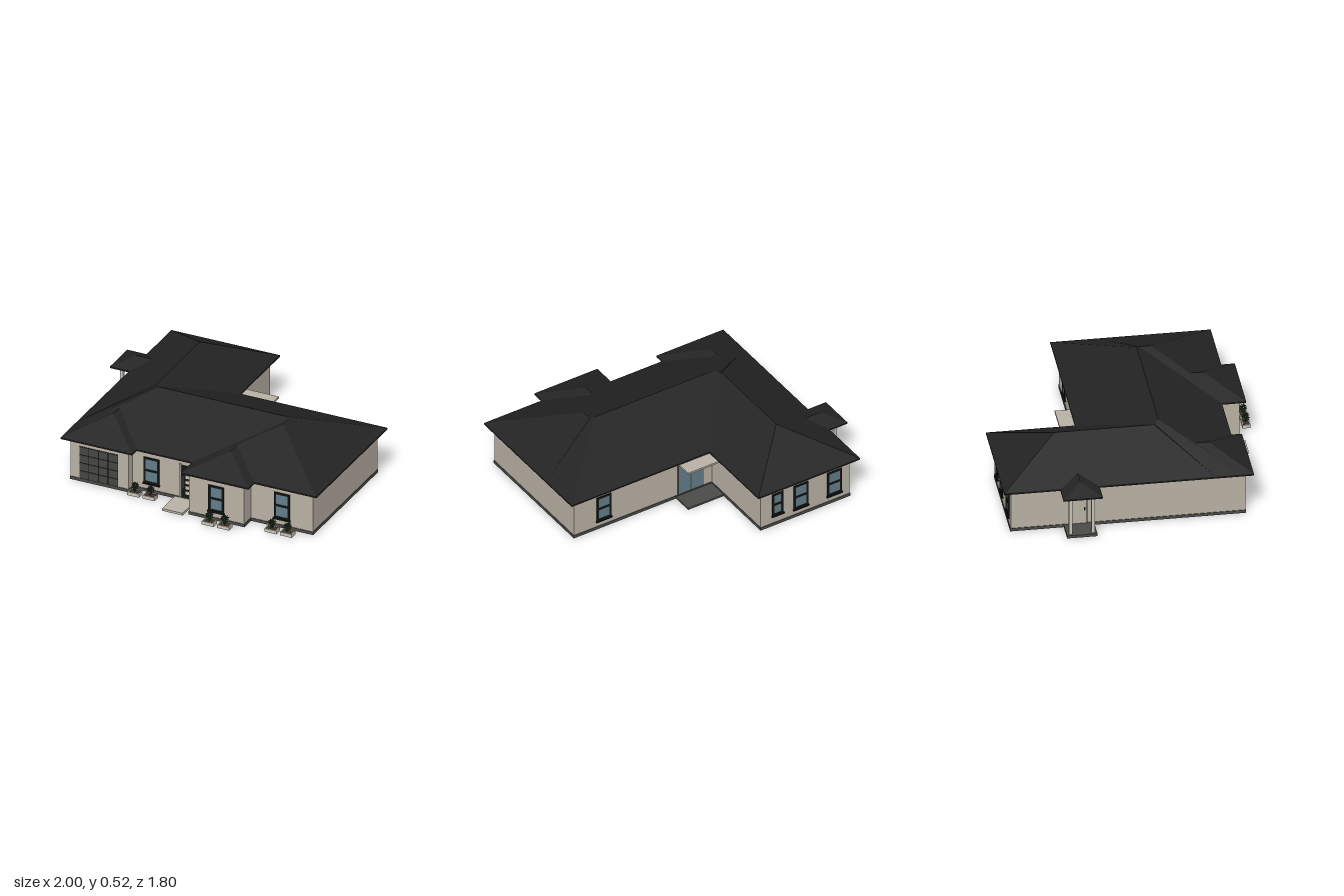
import * as THREE from 'three';
import { mergeGeometries } from 'three/addons/utils/BufferGeometryUtils.js';

const mat = (name, color) => {
  const m = new THREE.MeshStandardMaterial({ color });
  m.name = name;
  return m;
};

export function createModel() {
  const M = {
    wall: mat('warm plaster', 0xb9b1a4),
    roof: mat('charcoal roof', 0x232324),
    base: mat('grey plinth', 0x4b4b49),
    black: mat('black frame', 0x161715),
    glass: mat('blue glass', 0x637d8a),
    garage: mat('garage grey', 0x454742),
    trim: mat('pale trim', 0xc9c5bb),
    leaf: mat('leaf green', 0x294429),
    stem: mat('stem brown', 0x3c3023),
  };
  const house = new THREE.Group();
  house.name = 'house';

  // Box from its limits
  const block = (parent, name, m, x0, x1, y0, y1, z0, z1) => {
    const mesh = new THREE.Mesh(new THREE.BoxGeometry(x1 - x0, y1 - y0, z1 - z0), m);
    mesh.position.set((x0 + x1) / 2, (y0 + y1) / 2, (z0 + z1) / 2);
    mesh.name = name;
    parent.add(mesh);
    return mesh;
  };
  const group = (name, x, y, z, ry = 0, parent = house) => {
    const g = new THREE.Group();
    g.name = name;
    g.position.set(x, y, z);
    g.rotation.y = ry;
    parent.add(g);
    return g;
  };

  // Walls and plinth: [name, x0, x1, z0, z1]
  const rooms = [
    ['main', -0.81, 0.95, -0.26, 0.64],
    ['backWing', -0.81, -0.12, -0.85, 0],
    ['garageBay', -0.81, -0.39, 0, 0.7],
    ['rightBay', 0.11, 0.95, 0, 0.7],
    ['frontBay', 0.1, 0.5, 0, 0.8],
  ];
  for (const [n, x0, x1, z0, z1] of rooms) {
    block(house, n + 'Walls', M.wall, x0, x1, 0.02, 0.306, z0, z1);
    block(house, n + 'Plinth', M.base, x0 - 0.004, x1 + 0.004, 0, 0.021, z0 - 0.004, z1 + 0.004);
  }

  // Hipped roof: eave rectangle, ridge from a to b along one axis at height y
  const hip = (name, x0, x1, z0, z1, axis, a, b, c, y) => {
    const e = 0.316;
    const c0 = [x0, e, z0], c1 = [x1, e, z0], c2 = [x1, e, z1], c3 = [x0, e, z1];
    const r0 = axis === 'x' ? [a, y, c] : [c, y, a];
    const r1 = axis === 'x' ? [b, y, c] : [c, y, b];
    const faces = axis === 'x'
      ? [[c3, c2, r1], [c3, r1, r0], [c1, c0, r0], [c1, r0, r1], [c0, c3, r0], [c2, c1, r1]]
      : [[c0, c3, r1], [c0, r1, r0], [c2, c1, r0], [c2, r0, r1], [c3, c2, r1], [c1, c0, r0]];
    const geo = new THREE.BufferGeometry();
    geo.setAttribute('position', new THREE.Float32BufferAttribute(faces.flat(2), 3));
    geo.computeVertexNormals();
    const mesh = new THREE.Mesh(geo, M.roof);
    mesh.name = name;
    house.add(mesh);
    block(house, name + 'Fascia', M.roof, x0, x1, 0.306, e, z0, z1);
    block(house, name + 'Soffit', M.wall, x0 + 0.006, x1 - 0.006, 0.303, 0.306, z0 + 0.006, z1 - 0.006);
  };
  hip('mainRoof', -0.86, 1, -0.31, 0.68, 'x', -0.42, 0.505, 0.185, 0.523);
  hip('backWingRoof', -0.86, -0.07, -0.9, 0.5, 'z', -0.51, 0.15, -0.46, 0.512);
  hip('rightBayRoof', 0.06, 1, 0, 0.75, 'z', 0.2, 0.28, 0.53, 0.514);
  hip('frontBayRoof', 0.06, 0.55, 0.2, 0.84, 'z', 0.45, 0.595, 0.305, 0.418);
  hip('garageRoof', -0.86, -0.34, 0.1, 0.75, 'z', 0.34, 0.49, -0.6, 0.432);
  hip('porchRoof', -1, -0.6, -0.53, -0.27, 'x', -0.87, -0.75, -0.4, 0.368);

  // Two-pane windows, facing local +z
  const addWindow = (x, z, ry, w = 0.112, y0 = 0.065, y1 = 0.255) => {
    const g = group('window', x, 0, z, ry);
    const h = w / 2, t = 0.014, mid = (y0 + y1) / 2;
    block(g, 'glass', M.glass, -h + t, h - t, y0 + t, y1 - t, 0, 0.003);
    for (const s of [-1, 1]) {
      const cx = s * (h - t / 2);
      block(g, 'frameSide', M.black, cx - t / 2, cx + t / 2, y0, y1, 0, 0.008);
    }
    for (const y of [y0 + t / 2, mid, y1 - t / 2])
      block(g, 'frameBar', M.black, -h, h, y - t / 2, y + t / 2, 0, 0.0075);
    block(g, 'sill', M.black, -h - 0.005, h + 0.005, y0 - 0.007, y0 + 0.003, 0, 0.014);
  };
  addWindow(-0.25, 0.64, 0);
  addWindow(0.298, 0.8, 0);
  addWindow(0.727, 0.7, 0);
  addWindow(0.72, -0.26, Math.PI);
  addWindow(-0.25, -0.85, Math.PI, 0.085, 0.08);
  addWindow(-0.43, -0.85, Math.PI);
  addWindow(-0.69, -0.85, Math.PI);

  // Garage door with four by four panels
  const garage = group('garageDoor', -0.605, 0.022, 0.7);
  block(garage, 'backing', M.black, -0.14, 0.14, 0, 0.235, 0, 0.003);
  for (let i = 0; i < 4; i++)
    for (let j = 0; j < 4; j++) {
      const x = (i - 1.5) * 0.07, y = 0.029 + j * 0.059;
      block(garage, 'panel', M.garage, x - 0.032, x + 0.032, y - 0.0265, y + 0.0265, 0.002, 0.006);
    }

  // Front door with light panes, pilasters and handle
  const door = group('frontDoor', 0.023, 0.022, 0.64);
  block(door, 'leaf', M.black, -0.052, 0.052, 0, 0.235, 0, 0.006);
  for (let i = 0; i < 5; i++)
    block(door, 'pane', M.trim, -0.024, 0.03, 0.028 + i * 0.039, 0.05 + i * 0.039, 0.005, 0.009);
  block(door, 'handle', M.trim, -0.043, -0.038, 0.07, 0.16, 0.006, 0.014);
  for (const s of [-1, 1])
    block(door, 'pilaster', M.wall, s * 0.063 - 0.007, s * 0.063 + 0.007, 0, 0.245, 0, 0.012);
  block(house, 'entranceSlab', M.wall, -0.08, 0.07, 0, 0.016, 0.62, 0.835);

  // Back glass doors, patio slab and canopy
  const patio = group('patioDoor', 0.045, 0.022, -0.26, Math.PI);
  block(patio, 'frame', M.garage, -0.1, 0.1, 0, 0.235, 0, 0.003);
  for (const s of [-1, 1])
    block(patio, 'glass', M.glass, s * 0.048 - 0.044, s * 0.048 + 0.044, 0.008, 0.227, 0.002, 0.006);
  block(house, 'patioSlab', M.base, -0.12, 0.16, 0, 0.014, -0.41, -0.25);
  block(house, 'patioCanopy', M.wall, -0.12, 0.16, 0.287, 0.301, -0.41, -0.25);

  // Side porch: slab, posts and door
  block(house, 'porchSlab', M.base, -0.96, -0.8, 0, 0.02, -0.5, -0.3);
  for (const z of [-0.475, -0.325])
    block(house, 'porchPost', M.trim, -0.946, -0.924, 0.02, 0.306, z - 0.011, z + 0.011);
  const side = group('sideDoor', -0.81, 0.022, -0.4, -Math.PI / 2);
  block(side, 'frame', M.black, -0.055, 0.055, 0, 0.24, 0, 0.004);
  block(side, 'leaf', M.wall, -0.049, 0.049, 0, 0.234, 0.002, 0.007);
  block(side, 'handle', M.black, 0.033, 0.042, 0.1, 0.118, 0.006, 0.014);

  // Bush: pointed leaves spread over a ball
  let seed = 7;
  const rnd = () => (seed = (seed * 16807) % 2147483647) / 2147483647;
  const bush = () => {
    const leaves = [];
    const up = new THREE.Vector3(0, 1, 0);
    for (let i = 0; i < 46; i++) {
      const t = i * 2.4, v = 1 - (2 * (i + 0.5)) / 46, r = Math.sqrt(1 - v * v);
      const dir = new THREE.Vector3(r * Math.cos(t), v, r * Math.sin(t));
      const leaf = new THREE.OctahedronGeometry(1);
      leaf.scale(0.006, 0.012, 0.004);
      leaf.applyQuaternion(new THREE.Quaternion().setFromUnitVectors(up, dir));
      const k = 0.6 + rnd() * 0.4;
      leaf.translate(dir.x * 0.022 * k, dir.y * 0.024 * k, dir.z * 0.022 * k);
      leaves.push(leaf);
    }
    return mergeGeometries(leaves);
  };
  // Planters in pairs: [x, z]
  for (const [px, pz] of [[-0.277, 0.72], [0.338, 0.87], [0.75, 0.78]])
    for (const s of [-1, 1]) {
      const g = group('planter', px + s * 0.056, 0, pz);
      block(g, 'box', M.trim, -0.043, 0.043, 0.004, 0.028, -0.027, 0.027);
      block(g, 'soil', M.stem, -0.037, 0.037, 0.027, 0.029, -0.021, 0.021);
      const stem = new THREE.Mesh(new THREE.CylinderGeometry(0.003, 0.004, 0.035, 6), M.stem);
      stem.position.y = 0.045;
      stem.name = 'stem';
      const crown = new THREE.Mesh(bush(), M.leaf);
      crown.position.y = 0.068;
      crown.name = 'foliage';
      g.add(stem, crown);
    }

  return house;
}
